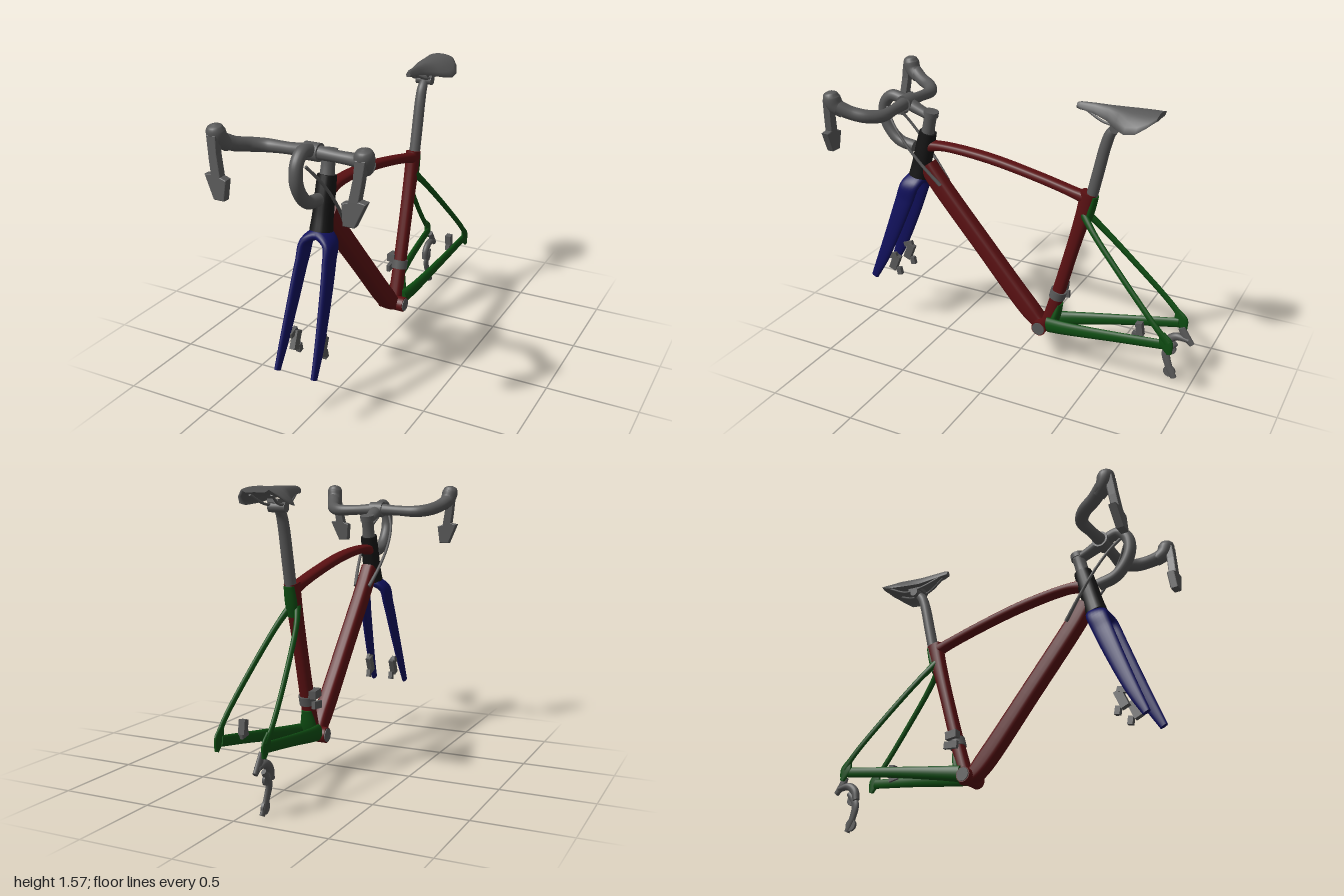
import * as THREE from 'three';

const mat = (name, color) => Object.assign(new THREE.MeshStandardMaterial({ color }), { name });

// Closed skin over a list of rings, each counter-clockwise about the direction of travel
function skin(rings) {
  const n = rings[0].length, m = rings.length, pos = [], idx = [];
  rings.forEach(r => r.forEach(p => pos.push(p.x, p.y, p.z)));
  for (let i = 0; i < m - 1; i++) for (let j = 0; j < n; j++) {
    const a = i * n + j, b = i * n + (j + 1) % n;
    idx.push(a, b, b + n, a, b + n, a + n);
  }
  [rings[0], rings[m - 1]].forEach((r, end) => {
    const base = pos.length / 3, c = new THREE.Vector3();
    r.forEach(p => { pos.push(p.x, p.y, p.z); c.addScaledVector(p, 1 / n); });
    pos.push(c.x, c.y, c.z);
    for (let j = 0; j < n; j++) {
      const a = base + j, b = base + (j + 1) % n;
      idx.push(base + n, end ? a : b, end ? b : a);
    }
  });
  const g = new THREE.BufferGeometry();
  g.setAttribute('position', new THREE.Float32BufferAttribute(pos, 3));
  g.setIndex(idx);
  g.computeVertexNormals();
  return g;
}

const X = new THREE.Vector3(1, 0, 0), Y = new THREE.Vector3(0, 1, 0), Z = new THREE.Vector3(0, 0, 1);

// Tube through [x, y, z, half size along ref, half size across]; e < 1 makes it boxier
function loft(pts, ref = X, e = 1, steps = 32, sides = 20) {
  const path = new THREE.CatmullRomCurve3(pts.map(p => new THREE.Vector3(p[0], p[1], p[2])));
  const size = new THREE.CatmullRomCurve3(pts.map(p => new THREE.Vector3(p[3], p[4] ?? p[3], 0)), false, 'catmullrom');
  const pow = v => Math.sign(v) * Math.abs(v) ** e;
  const rings = [];
  for (let i = 0; i <= steps; i++) {
    const t = i / steps, c = path.getPoint(t), T = path.getTangent(t), s = size.getPoint(t);
    const A = ref.clone().addScaledVector(T, -ref.dot(T)).normalize();
    const B = T.clone().cross(A);
    rings.push(Array.from({ length: sides }, (_, j) => {
      const a = j / sides * Math.PI * 2;
      return c.clone().addScaledVector(A, s.x * pow(Math.cos(a))).addScaledVector(B, s.y * pow(Math.sin(a)));
    }));
  }
  return skin(rings);
}

// Saddle: arched sections [z, half width, top y, edge y] from nose to tail
function saddleGeometry() {
  const data = [
    [-0.32, 0.014, 1.556, 1.54], [-0.34, 0.022, 1.563, 1.53], [-0.42, 0.032, 1.566, 1.52],
    [-0.5, 0.055, 1.566, 1.5], [-0.56, 0.1, 1.566, 1.482], [-0.62, 0.136, 1.566, 1.472],
    [-0.68, 0.136, 1.567, 1.482], [-0.73, 0.114, 1.568, 1.515], [-0.765, 0.075, 1.566, 1.55],
  ];
  const n = 12;
  return skin(data.map(([z, w, top, edge]) => {
    const at = (u, drop) => new THREE.Vector3(u * w, edge + (top - edge) * (1 - Math.abs(u) ** 2.2) - drop * (1 - u ** 4), z);
    const ring = [];
    for (let j = 0; j < n; j++) ring.push(at(1 - 2 * j / n, 0.028));
    for (let j = 0; j < n; j++) ring.push(at(-1 + 2 * j / n, 0));
    return ring;
  }));
}

export function createModel() {
  const root = new THREE.Group();
  root.name = 'roadBikeFrame';
  const red = mat('frameRed', 0x5a1012), blue = mat('forkBlue', 0x10105c), green = mat('stayGreen', 0x0e4d12);
  const grey = mat('componentGrey', 0x585858), black = mat('headBlack', 0x151515);

  const add = (name, geo, m) => {
    const mesh = new THREE.Mesh(geo, m);
    mesh.name = name;
    root.add(mesh);
    return mesh;
  };
  const box = (name, m, w, h, d, x, y, z, tilt = 0) => {
    const b = add(name, new THREE.BoxGeometry(w, h, d), m);
    b.position.set(x, y, z);
    b.rotation.x = tilt;
  };
  const disc = (name, m, r, len, x, y, z) => {
    const d = add(name, new THREE.CylinderGeometry(r, r, len, 24), m);
    d.position.set(x, y, z);
    d.rotation.z = Math.PI / 2;
  };

  // Main frame
  add('topTube', loft([[0, 1.17, 0.59, 0.038, 0.034], [0, 1.185, 0.48, 0.038, 0.024], [0, 1.165, 0.2, 0.037, 0.025],
    [0, 1.11, -0.1, 0.035, 0.025], [0, 1.06, -0.31, 0.034, 0.027], [0, 1.035, -0.4, 0.034, 0.036]], X, 0.75), red);
  add('downTube', loft([[0, 1.06, 0.59, 0.042, 0.05], [0, 0.97, 0.525, 0.043, 0.053], [0, 0.62, 0.23, 0.043, 0.053],
    [0, 0.3, -0.045, 0.043, 0.055], [0, 0.225, -0.125, 0.043, 0.042], [0, 0.215, -0.17, 0.043, 0.03]], X, 0.6), red);
  add('seatTube', loft([[0, 0.2, -0.165, 0.04, 0.04], [0, 0.42, -0.228, 0.036, 0.036], [0, 0.75, -0.318, 0.035, 0.036],
    [0, 0.95, -0.372, 0.036, 0.042], [0, 1.075, -0.4, 0.037, 0.046]], X, 0.75), red);
  disc('bottomBracketShell', red, 0.043, 0.15, 0, 0.217, -0.145);
  [1, -1].forEach(s => disc('bottomBracketCap', grey, 0.037, 0.006, s * 0.077, 0.217, -0.145));

  // Head tube
  add('headTube', loft([[0, 0.985, 0.648, 0.056, 0.058], [0, 1.06, 0.628, 0.05, 0.054],
    [0, 1.16, 0.602, 0.048, 0.053], [0, 1.255, 0.578, 0.046, 0.048]], X, 0.85), black);

  // Fork, one sweep from tip to tip over the crown
  const leg = [[0.105, 0.32, 0.93, 0.022, 0.013], [0.1, 0.45, 0.868, 0.036, 0.016], [0.089, 0.65, 0.785, 0.047, 0.019],
    [0.076, 0.84, 0.712, 0.055, 0.021], [0.062, 0.94, 0.675, 0.058, 0.026]];
  add('fork', loft([...leg, [0, 0.975, 0.655, 0.059, 0.03],
    ...leg.map(([x, ...r]) => [-x, ...r]).reverse()], Z, 0.85, 72), blue);

  // Rear triangle
  add('seatTubeRearFairing', loft([[0, 0.9, -0.39, 0.03, 0.02], [0, 0.97, -0.41, 0.034, 0.022],
    [0, 1.06, -0.432, 0.03, 0.02]]), green);
  add('chainstayYoke', loft([[0, 0.21, -0.195, 0.055, 0.025], [0, 0.29, -0.222, 0.045, 0.025], [0, 0.37, -0.243, 0.028, 0.018]]), green);
  [1, -1].forEach(s => {
    add('chainstay', loft([[s * 0.04, 0.238, -0.19, 0.026, 0.046], [s * 0.062, 0.255, -0.3, 0.022, 0.04],
      [s * 0.098, 0.305, -0.6, 0.017, 0.031], [s * 0.125, 0.352, -0.9, 0.013, 0.028]]), green);
    add('seatstay', loft([[s * 0.018, 0.955, -0.375, 0.018, 0.022], [s * 0.055, 0.86, -0.46, 0.014, 0.018],
      [s * 0.102, 0.65, -0.66, 0.012, 0.017], [s * 0.132, 0.46, -0.84, 0.011, 0.017],
      [s * 0.134, 0.37, -0.92, 0.01, 0.02]]), green);
    add('rearDropout', loft([[s * 0.13, 0.42, -0.885, 0.009, 0.016], [s * 0.13, 0.365, -0.91, 0.011, 0.038],
      [s * 0.13, 0.305, -0.932, 0.009, 0.014]], X, 0.8), green);

    // Front brake callipers behind the fork legs
    box('frontCalliperBody', grey, 0.03, 0.1, 0.045, s * 0.078, 0.43, 0.795, -0.4);
    box('frontCalliperUpper', grey, 0.02, 0.03, 0.06, s * 0.085, 0.475, 0.805, 0.3);
    box('frontCalliperFoot', grey, 0.024, 0.045, 0.03, s * 0.075, 0.375, 0.77, 0.2);
  });
  box('rearCalliper', grey, 0.035, 0.075, 0.036, 0.09, 0.39, -0.75, 0.15);
  box('rearCalliperBracket', grey, 0.025, 0.03, 0.06, 0.095, 0.35, -0.74, -0.15);

  // Seatpost and saddle
  add('seatpost', loft([[0, 1.03, -0.408, 0.031], [0, 1.2, -0.446, 0.031], [0, 1.36, -0.483, 0.03],
    [0, 1.42, -0.505, 0.028], [0, 1.46, -0.54, 0.022]]), grey);
  disc('saddleClamp', grey, 0.026, 0.095, 0, 1.462, -0.54);
  box('saddleClampTop', grey, 0.06, 0.02, 0.09, 0, 1.49, -0.55, 0.1);
  add('saddle', saddleGeometry(), grey);
  [1, -1].forEach(s => add('saddleRail', loft([[s * 0.012, 1.53, -0.37, 0.007], [s * 0.035, 1.485, -0.48, 0.007],
    [s * 0.04, 1.478, -0.6, 0.007], [s * 0.06, 1.525, -0.71, 0.007]], X, 1, 20, 8), grey));

  // Stem with top cap
  add('steererSpacer', loft([[0, 1.24, 0.582, 0.038], [0, 1.3, 0.568, 0.035], [0, 1.37, 0.553, 0.037]]), grey);
  add('stem', loft([[0, 1.345, 0.54, 0.034, 0.026], [0, 1.365, 0.6, 0.034, 0.028], [0, 1.41, 0.71, 0.042, 0.036]]), grey);
  const cap = add('stemCap', new THREE.CylinderGeometry(0.042, 0.042, 0.03, 24), grey);
  cap.position.set(0, 1.365, 0.553);
  cap.rotation.x = -0.2;
  disc('barClamp', grey, 0.045, 0.08, 0, 1.41, 0.705);

  // Handlebar, hoods and levers
  const half = [[0.13, 1.405, 0.703, 0.03], [0.25, 1.402, 0.706, 0.034], [0.315, 1.412, 0.755, 0.036],
    [0.352, 1.432, 0.83, 0.037], [0.383, 1.465, 0.892, 0.039]];
  add('handlebar', loft([...half.map(([x, ...r]) => [-x, ...r]).reverse(), [0, 1.41, 0.705, 0.036], ...half], Y, 1, 80), grey);
  [1, -1].forEach(s => {
    add('brakeHood', loft([[s * 0.365, 1.435, 0.86, 0.036], [s * 0.382, 1.475, 0.905, 0.044],
      [s * 0.388, 1.515, 0.92, 0.046], [s * 0.388, 1.54, 0.922, 0.034], [s * 0.388, 1.55, 0.923, 0.012]], X), grey);
    const shape = new THREE.Shape([[0.365, 1.5], [0.41, 1.5], [0.396, 1.39], [0.385, 1.32], [0.42, 1.315], [0.37, 1.205],
      [0.318, 1.205], [0.308, 1.3], [0.34, 1.31], [0.36, 1.42]].map(([x, y]) => new THREE.Vector2(s * x, y)));
    const g = new THREE.ExtrudeGeometry(shape, { depth: 0.032, bevelEnabled: true, bevelSize: 0.004, bevelThickness: 0.006, bevelSegments: 2 });
    // Lean the blade forward towards its tip
    const p = g.attributes.position;
    for (let i = 0; i < p.count; i++) p.setZ(i, p.getZ(i) + 0.925 + (1.5 - p.getY(i)) * 0.1);
    g.computeVertexNormals();
    add('brakeLever', g, grey);

    // Cable looping from the bar down to the down tube
    add('cable', loft([[s * 0.03, 1.375, 0.82, 0.008], [s * 0.065, 1.3, 0.765, 0.008], [s * 0.08, 1.2, 0.685, 0.008],
      [s * 0.07, 1.08, 0.585, 0.009], [s * 0.044, 0.965, 0.485, 0.011]], X, 1, 28, 10), grey);
  });

  // Central curved drop below the bar
  add('dropBar', loft([[0, 1.42, 0.72, 0.033], [0, 1.435, 0.8, 0.033], [0, 1.39, 0.85, 0.033], [0, 1.31, 0.86, 0.033],
    [0, 1.23, 0.825, 0.033], [0, 1.175, 0.765, 0.033], [0, 1.155, 0.67, 0.033]], X, 1, 48), grey);

  // Front derailleur
  const band = add('frontDerailleurBand', new THREE.CylinderGeometry(0.046, 0.046, 0.05, 20), grey);
  band.position.set(0, 0.43, -0.231);
  band.rotation.x = -0.27;
  box('frontDerailleurBody', grey, 0.045, 0.045, 0.07, -0.045, 0.465, -0.235, -0.1);
  box('frontDerailleurCage', grey, 0.02, 0.04, 0.085, -0.058, 0.405, -0.235, 0.1);

  // Rear derailleur on the right dropout
  const rx = -0.113;
  add('derailleurHanger', loft([[rx, 0.33, -0.92, 0.012, 0.02], [rx, 0.285, -0.945, 0.014, 0.024], [rx, 0.24, -0.985, 0.012, 0.016]]), grey);
  add('derailleurBody', loft([[rx, 0.265, -0.965, 0.018, 0.014], [rx, 0.27, -0.895, 0.02, 0.022],
    [rx, 0.235, -0.85, 0.02, 0.024], [rx, 0.18, -0.835, 0.018, 0.02]]), grey);
  add('derailleurCage', loft([[rx + 0.006, 0.23, -0.895, 0.012, 0.016], [rx + 0.006, 0.16, -0.845, 0.013, 0.024],
    [rx + 0.01, 0.09, -0.86, 0.013, 0.022], [rx + 0.014, 0.01, -0.9, 0.012, 0.018]]), grey);
  disc('upperPulley', grey, 0.03, 0.014, rx + 0.006, 0.185, -0.87);
  disc('lowerPulley', grey, 0.034, 0.014, rx + 0.012, 0.045, -0.872);
  return root;
}
